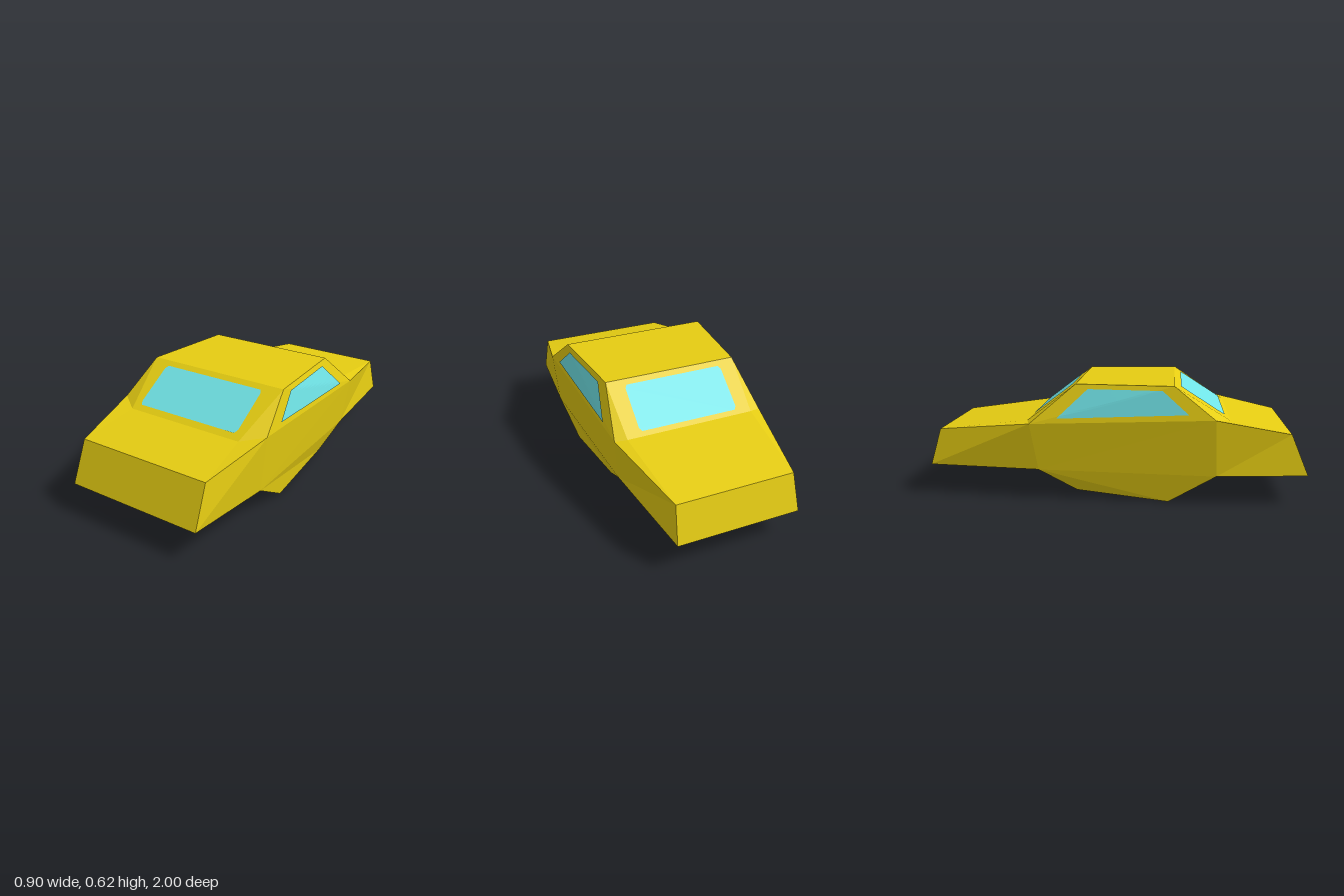
import * as THREE from 'three';

const paint = new THREE.MeshStandardMaterial({ color: 0xe6cd12 });
paint.name = 'yellow paint';
const glass = new THREE.MeshStandardMaterial({ color: 0x70e3e6 });
glass.name = 'cyan glass';

// Corner points of the left (+x) half of the shell
const P = {
  noseLow: [0.385, 0.155, 1], noseTop: [0.38, 0.37, 0.91],
  screenBase: [0.34, 0.43, 0.6], beltFront: [0.452, 0.45, 0.52],
  roofFront: [0.41, 0.615, 0.31], roofBack: [0.365, 0.615, -0.2],
  rearBase: [0.35, 0.418, -0.46], beltBack: [0.412, 0.41, -0.44],
  tailTop: [0.31, 0.355, -0.945], tailLow: [0.322, 0.16, -1],
  sillBack: [0.385, 0.16, -0.4], sillFront: [0.422, 0.152, 0.53],
  bellyBack: [0.355, 0.045, -0.2], bellyFront: [0.387, 0, 0.285],
};
const mirror = ([x, y, z]) => [-x, y, z];

// Flat-shaded mesh from convex polygons
function panelMesh(name, polygons, material) {
  const pos = [];
  for (const p of polygons)
    for (let i = 1; i < p.length - 1; i++) pos.push(...p[0], ...p[i], ...p[i + 1]);
  const g = new THREE.BufferGeometry();
  g.setAttribute('position', new THREE.Float32BufferAttribute(pos, 3));
  g.computeVertexNormals();
  const mesh = new THREE.Mesh(g, material);
  mesh.name = name;
  return mesh;
}

// Centre panels spanning the car between each pair of mirrored points
function strip(name, keys) {
  const polys = [];
  for (let i = 0; i < keys.length - 1; i++) {
    const a = P[keys[i]], b = P[keys[i + 1]];
    polys.push([a, b, mirror(b), mirror(a)]);
  }
  return panelMesh(name, polys, paint);
}

// Side panels, mirrored to the other side
function flanks(name, lists) {
  const left = lists.map((keys) => keys.map((k) => P[k]));
  const right = left.map((poly) => poly.map(mirror).reverse());
  return panelMesh(name, [...left, ...right], paint);
}

// x of the plane through three points at a given y, z
function planeX(keys, y, z) {
  const [a, b, c] = keys.map((k) => new THREE.Vector3(...P[k]));
  const n = new THREE.Plane().setFromCoplanarPoints(a, b, c);
  return -(n.normal.y * y + n.normal.z * z + n.constant) / n.normal.x;
}

// Side window: a fine grid that follows the folded cabin side
function sideWindow(side) {
  const corners = [[0.475, 0.385], [0.442, -0.295], [0.592, -0.135], [0.592, 0.25]];
  const n = 12;
  const at = (u, v) => {
    const mix = (i) => THREE.MathUtils.lerp(
      THREE.MathUtils.lerp(corners[0][i], corners[1][i], u),
      THREE.MathUtils.lerp(corners[3][i], corners[2][i], u), v);
    const y = mix(0), z = mix(1);
    const x = Math.min(
      planeX(['beltFront', 'beltBack', 'roofFront'], y, z),
      planeX(['roofFront', 'beltBack', 'roofBack'], y, z));
    return [side * (x + 0.006), y, z];
  };
  const polys = [];
  for (let i = 0; i < n; i++)
    for (let j = 0; j < n; j++) {
      const q = [at(i / n, j / n), at((i + 1) / n, j / n),
        at((i + 1) / n, (j + 1) / n), at(i / n, (j + 1) / n)];
      polys.push(side > 0 ? q : q.reverse());
    }
  return panelMesh(side > 0 ? 'leftWindow' : 'rightWindow', polys, glass);
}

// Front or rear screen lying just off the slope between two shell points
function screen(name, baseKey, roofKey, low, high) {
  const [, yb, zb] = P[baseKey], [, yr, zr] = P[roofKey];
  const dir = Math.sign(zb - zr);
  const at = (x, y) =>
    [x, y + 0.003, zb + (zr - zb) * (y - yb) / (yr - yb) + dir * 0.004];
  const c = 0.012; // clipped corners
  const poly = [at(low[0] - c, low[1]), at(low[0], low[1] + c),
    at(high[0], high[1] - c), at(high[0] - c, high[1])];
  const full = [...poly, ...poly.map(mirror).reverse()];
  return panelMesh(name, [dir > 0 ? full : full.reverse()], glass);
}

export function createModel() {
  const car = new THREE.Group();
  car.name = 'car';
  car.add(
    strip('noseAndHood', ['noseLow', 'noseTop', 'screenBase']),
    strip('cabinTop', ['screenBase', 'roofFront', 'roofBack', 'rearBase']),
    strip('trunkAndTail', ['rearBase', 'tailTop', 'tailLow']),
    strip('underside', ['tailLow', 'sillBack', 'bellyBack', 'bellyFront', 'sillFront', 'noseLow']),
    flanks('fenders', [
      ['noseLow', 'sillFront', 'beltFront', 'noseTop'],
      ['noseTop', 'beltFront', 'screenBase'],
      ['sillBack', 'tailLow', 'tailTop', 'beltBack'],
      ['rearBase', 'beltBack', 'tailTop'],
    ]),
    flanks('doors', [['sillFront', 'sillBack', 'beltBack', 'beltFront']]),
    flanks('cabinSides', [
      ['screenBase', 'beltFront', 'roofFront'],
      ['beltFront', 'beltBack', 'roofFront'],
      ['roofFront', 'beltBack', 'roofBack'],
      ['roofBack', 'beltBack', 'rearBase'],
    ]),
    flanks('bellySides', [['sillFront', 'bellyFront', 'bellyBack', 'sillBack']]),
    screen('windshield', 'screenBase', 'roofFront', [0.308, 0.45], [0.308, 0.596]),
    screen('rearWindow', 'rearBase', 'roofBack', [0.275, 0.435], [0.295, 0.594].map((v, i) => (i ? v : 0.275))),
    sideWindow(1),
    sideWindow(-1),
  );
  return car;
}
